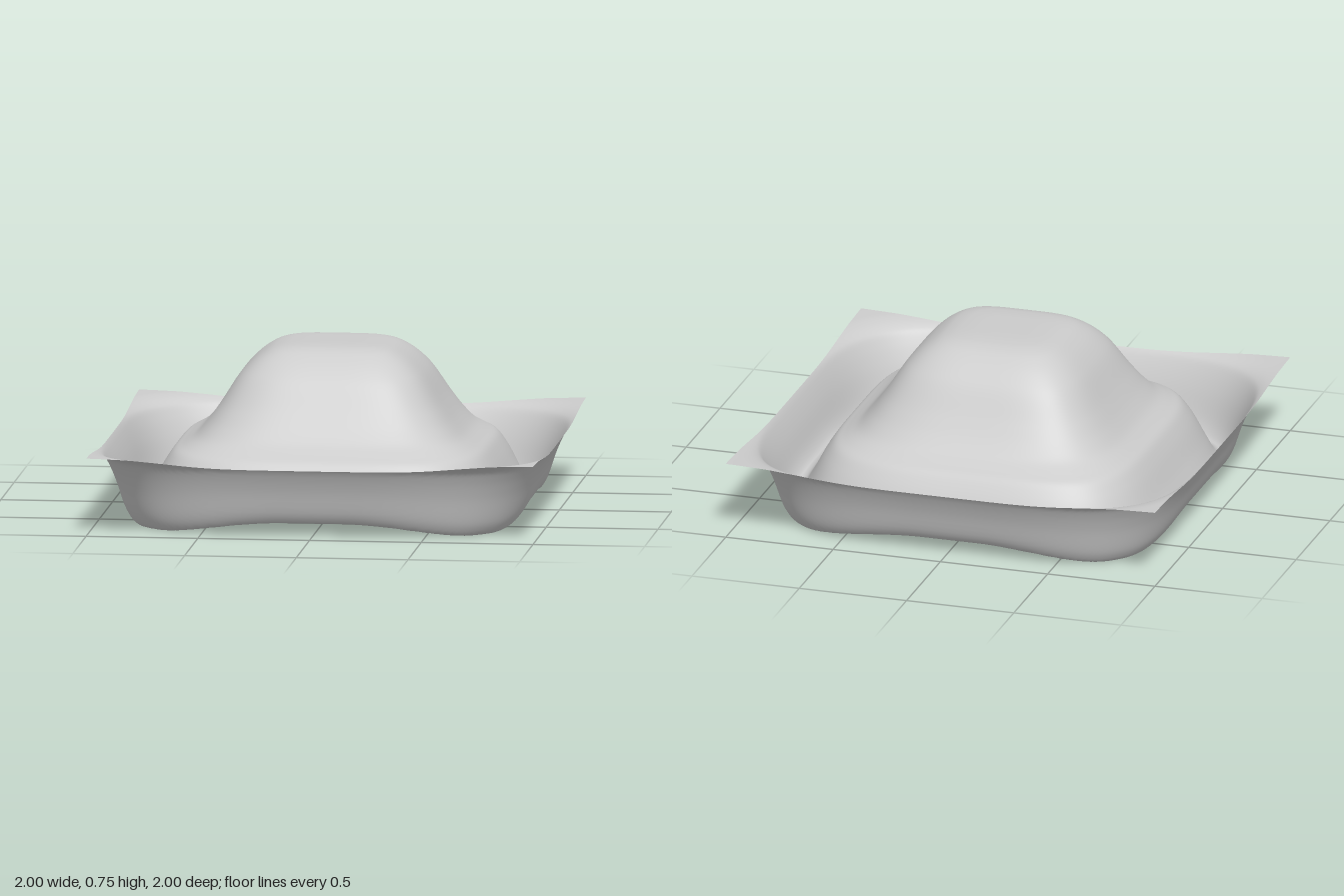
import * as THREE from 'three';

// Height profile from the centre outwards: [rounded-square radius, height]
const PROFILE = [
  [0, 0.754], [0.12, 0.753], [0.2, 0.748], [0.26, 0.735], [0.32, 0.703], [0.4, 0.63], [0.5, 0.48],
  [0.55, 0.41], [0.6, 0.355], [0.65, 0.322], [0.69, 0.298], [0.73, 0.245], [0.8, 0.12],
  [0.84, 0.064], [0.87, 0.055], [0.9, 0.088], [0.945, 0.205], [0.975, 0.27],
  [1, 0.31], [1.05, 0.335], [1.1, 0.345], [1.2, 0.35],
];

// Smooth cubic interpolation along the profile
function profileHeight(r) {
  const P = PROFILE, last = P.length - 1;
  const slope = (k) => {
    if (k === 0 || k === last) return 0;
    const a = (P[k][1] - P[k - 1][1]) / (P[k][0] - P[k - 1][0]);
    const b = (P[k + 1][1] - P[k][1]) / (P[k + 1][0] - P[k][0]);
    return a * b <= 0 ? 0 : (2 * a * b) / (a + b);
  };
  let i = 0;
  while (i < last - 1 && r > P[i + 1][0]) i++;
  const w = P[i + 1][0] - P[i][0];
  const t = Math.min(1, (r - P[i][0]) / w), t2 = t * t, t3 = t2 * t;
  return (2 * t3 - 3 * t2 + 1) * P[i][1] + (t3 - 2 * t2 + t) * w * slope(i)
    + (3 * t2 - 2 * t3) * P[i + 1][1] + (t3 - t2) * w * slope(i + 1);
}

function surfaceHeight(x, z) {
  const ax = Math.abs(x), az = Math.abs(z), n = 4.2;
  const r = Math.pow(ax ** n + az ** n, 1 / n);
  // The trough sinks lower towards its corners
  const corner = THREE.MathUtils.smoothstep(Math.min(ax, az) / (Math.max(ax, az) + 1e-6), 0.15, 0.9);
  const trough = Math.exp(-(((r - 0.87) / 0.08) ** 2));
  return profileHeight(r) - 0.055 * corner * trough;
}

export function createModel() {
  const group = new THREE.Group();
  group.name = 'moundedSheet';

  // Square sheet pressed into a mound, a shoulder, a trough and a raised rim
  const geometry = new THREE.PlaneGeometry(2, 2, 200, 200);
  geometry.rotateX(-Math.PI / 2);
  const pos = geometry.attributes.position;
  for (let i = 0; i < pos.count; i++) pos.setY(i, surfaceHeight(pos.getX(i), pos.getZ(i)));
  geometry.computeVertexNormals();

  const sheet = new THREE.Mesh(
    geometry,
    new THREE.MeshStandardMaterial({ color: 0xcccccc, side: THREE.DoubleSide })
  );
  sheet.name = 'sheet';
  group.add(sheet);
  return group;
}
